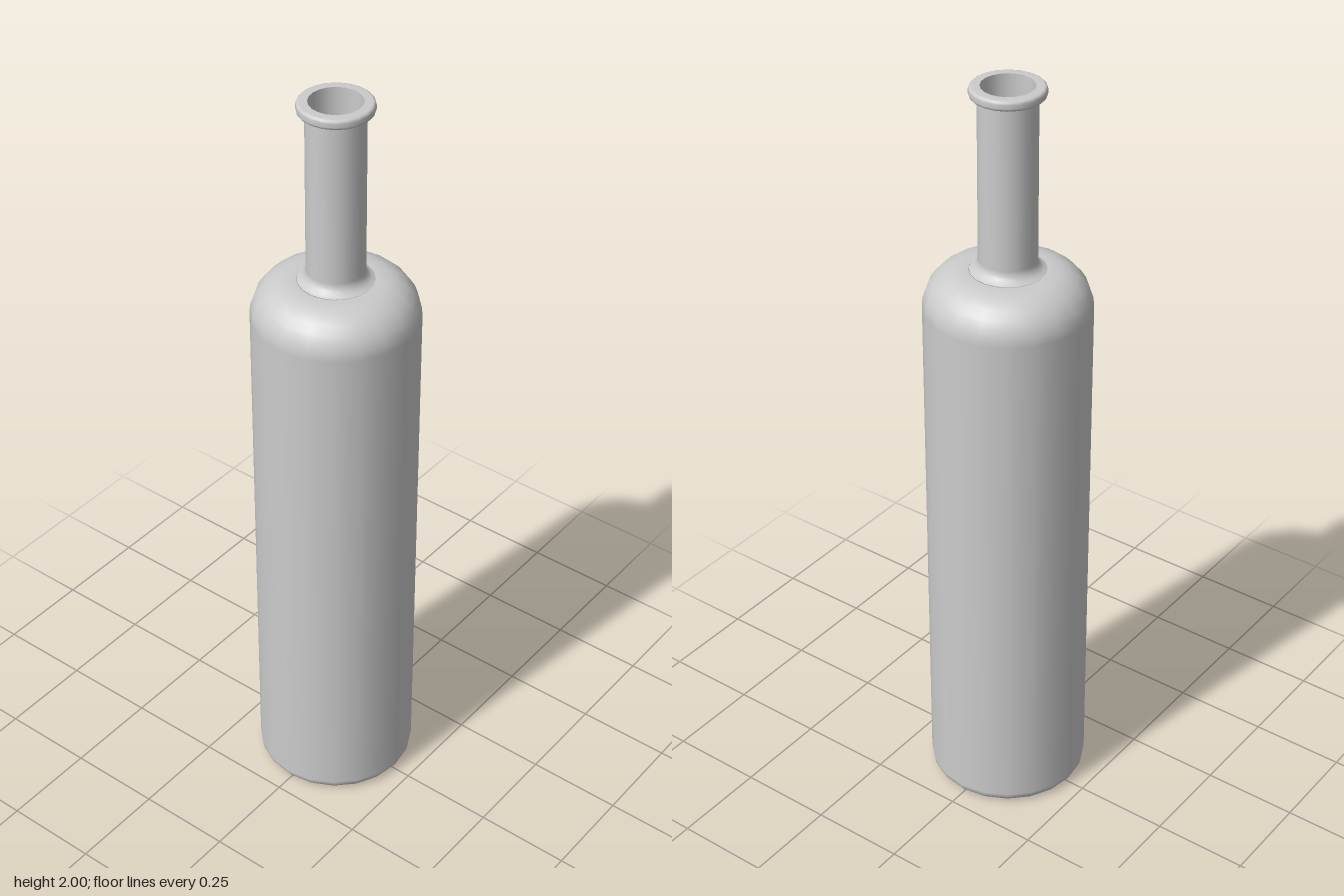
import * as THREE from 'three';

const SIDES = 20;
const V = (x, y) => new THREE.Vector2(x, y);

// Quarter-ellipse profile points around (cx, cy), from angle a to b in degrees
function arc(cx, cy, rx, ry, a, b, n) {
  return Array.from({ length: n + 1 }, (_, i) => {
    const t = THREE.MathUtils.degToRad(a + ((b - a) * i) / n);
    return V(cx + rx * Math.cos(t), cy + ry * Math.sin(t));
  });
}

export function createModel() {
  const group = new THREE.Group();
  const material = new THREE.MeshStandardMaterial({ color: 0xcccccc });

  // Each part is turned on its own, so edges between parts stay sharp
  const turn = (name, points) => {
    const mesh = new THREE.Mesh(new THREE.LatheGeometry(points, SIDES), material);
    mesh.name = name;
    group.add(mesh);
  };

  // Outside, from the base upwards
  turn('base', [V(0, 0.005), V(0.178, 0.005)]);
  turn('body', [
    ...arc(0.178, 0.035, 0.03, 0.03, -90, 0, 4),
    ...arc(0.108, 1.425, 0.1, 0.1, 0, 90, 7),
    V(0.095, 1.525),
  ]);
  turn('neck', [
    ...arc(0.102, 1.555, 0.03, 0.03, 255, 180, 4),
    V(0.072, 1.975),
  ]);

  // Rounded ring around the mouth
  turn('lipUnderside', [V(0.072, 1.974), V(0.086, 1.974)]);
  turn('lip', [
    ...arc(0.084, 1.982, 0.008, 0.008, -90, 0, 3),
    ...arc(0.084, 1.992, 0.008, 0.008, 0, 90, 3),
    V(0.065, 2),
  ]);

  // Hollow inside, from the mouth downwards
  turn('neckInside', [V(0.065, 2), V(0.065, 1.515)]);
  turn('bodyInside', [
    V(0.065, 1.515),
    ...arc(0.108, 1.425, 0.09, 0.09, 90, 0, 6),
    ...arc(0.178, 0.035, 0.02, 0.02, 0, -90, 3),
  ]);
  turn('floorInside', [V(0.178, 0.015), V(0, 0.015)]);

  return group;
}
